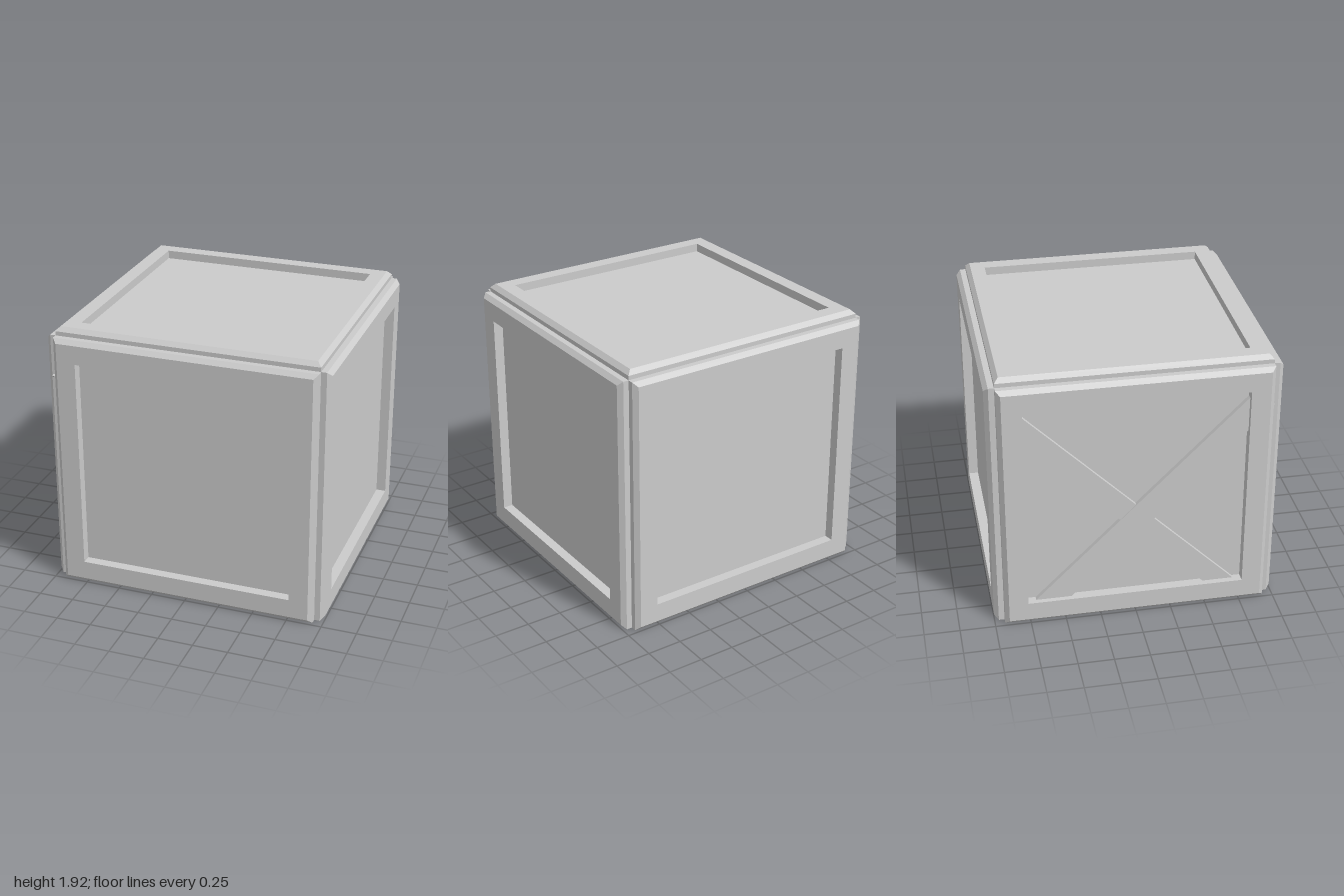
import * as THREE from 'three';

const material = new THREE.MeshStandardMaterial({ color: 0xcccccc, flatShading: true });
const HALF = 0.93; // half width of the inner box

// Square picture-frame with a chamfered outer rim: a four-sided lathe lying on y = 0
function frameGeometry(opening, depth) {
  const c = 0.03;
  const profile = [
    [HALF, 0], [HALF, depth - c], [HALF - c, depth], [opening, depth], [opening, 0],
  ].map(([r, y]) => new THREE.Vector2(r * Math.SQRT2, y));
  const geometry = new THREE.LatheGeometry(profile, 4, Math.PI / 4).toNonIndexed();
  geometry.computeVertexNormals();
  return geometry;
}

function addMesh(parent, name, geometry) {
  const mesh = new THREE.Mesh(geometry, material);
  mesh.name = name;
  parent.add(mesh);
  return mesh;
}

export function createModel() {
  const crate = new THREE.Group();
  crate.name = 'crate';

  // Inner box: its faces are the recessed panels
  addMesh(crate, 'innerBox', new THREE.BoxGeometry(2 * HALF, 2 * HALF, 2 * HALF))
    .position.y = HALF;

  // Four upright frames
  const sideGeometry = frameGeometry(0.765, 0.07);
  ['frontFrame', 'leftFrame', 'backFrame', 'rightFrame'].forEach((name, i) => {
    const pivot = new THREE.Group();
    pivot.rotation.y = i * Math.PI / 2;
    crate.add(pivot);
    const frame = addMesh(pivot, name, sideGeometry);
    frame.rotation.x = Math.PI / 2;
    frame.position.set(0, HALF, HALF);
  });

  // Lid frame, with a wider opening
  addMesh(crate, 'lidFrame', frameGeometry(0.797, 0.06)).position.y = 2 * HALF;

  // Crossed planks on the right side, ends buried in the frame
  const planks = [
    { name: 'risingBrace', length: 2.18, width: 0.177, outer: 0.965, y: 0.8525, z: 0.1075, tilt: -1 },
    { name: 'fallingBrace', length: 2.093, width: 0.155, outer: 0.957, y: 0.849, z: -0.086, tilt: 1 },
  ];
  for (const p of planks) {
    const thickness = p.outer - 0.9;
    const brace = addMesh(crate, p.name, new THREE.BoxGeometry(thickness, p.width, p.length));
    brace.rotation.x = p.tilt * Math.PI / 4;
    brace.position.set(-p.outer + thickness / 2, p.y, p.z);
  }

  return crate;
}
